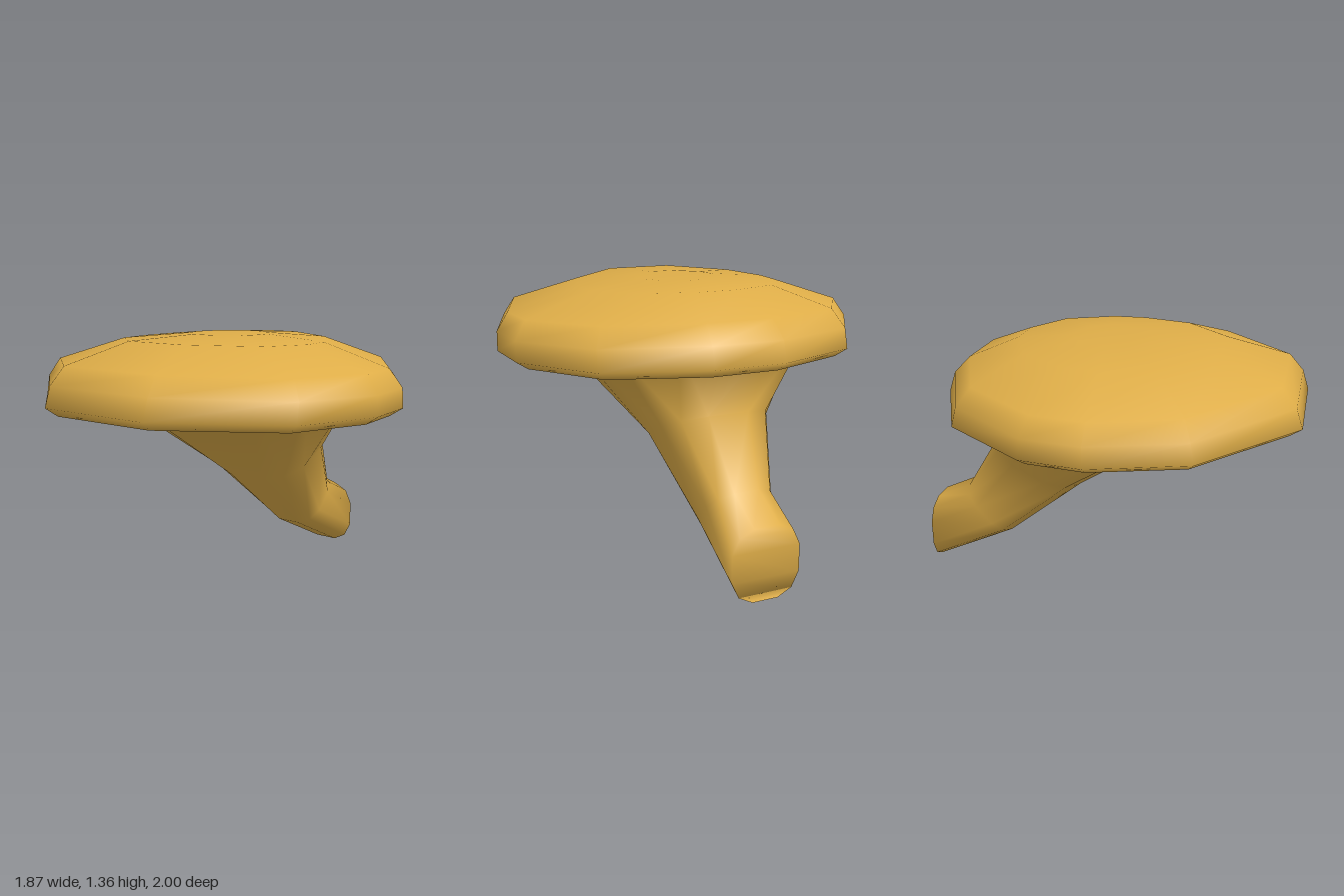
import * as THREE from 'three';

const SIDES = 12;

// Right half of the cap outline [x, z], front to back; mirrored to make the full rim
const HALF = [[0.31, 1.0], [0.8, 0.57], [0.935, 0.11], [0.91, -0.19], [0.645, -0.61], [0.18, -0.82]];
const OUTLINE = [...HALF, ...HALF.map(([x, z]) => [-x, z]).reverse()];

// Slightly squared circle, with its extremes brought out to 1
const squared = (v) => Math.sign(v) * Math.abs(v / Math.cos(Math.PI / SIDES)) ** 0.75;

// Stem section between a front and a back edge point [z, y]
function stemRing([fz, fy], [bz, by], halfWidth) {
  return Array.from({ length: SIDES }, (_, j) => {
    const a = ((j + 0.5) * 2 * Math.PI) / SIDES;
    const c = squared(Math.cos(a)) / 2;
    return [halfWidth * squared(Math.sin(a)), (fy + by) / 2 + c * (fy - by), (fz + bz) / 2 + c * (fz - bz)];
  });
}

// Cap section: scaled outline, drooping slightly at the sides
function capRing(sx, sz, y, zc = 0.09, droop = 0.04) {
  return OUTLINE.map(([x, z]) => [x * sx, y - droop * (x * sx) ** 2, zc + (z - 0.09) * sz]);
}

export function createModel() {
  const group = new THREE.Group();
  const material = new THREE.MeshStandardMaterial({ color: 0xdead48 });
  material.name = 'ochre';

  const rings = [
    // stem, from its cut end up into the hollow under the cap
    stemRing([-1, 0], [-1, 0.365], 0.173),
    stemRing([-0.56, 0.21], [-0.8, 0.46], 0.173),
    stemRing([-0.14, 0.56], [-0.6, 0.78], 0.285),
    stemRing([0.66, 1.12], [-0.57, 1.12], 0.66),
    // cap, from the hollow underside over the rim to the crown
    capRing(0.935, 0.935, 1.015),
    capRing(1, 1, 1.06),
    capRing(0.998, 0.963, 1.16),
    capRing(0.935, 0.877, 1.247, 0.095),
    capRing(0.56, 0.57, 1.347, 0.06, 0.06),
    capRing(0.22, 0.22, 1.363, 0.02),
  ];
  const stemBands = 3;
  const points = rings.flat();

  // Faces, kept apart for stem and cap
  const stemFaces = [], capFaces = [];
  for (let i = 0; i < rings.length - 1; i++) {
    for (let j = 0; j < SIDES; j++) {
      const a = i * SIDES + j, b = i * SIDES + ((j + 1) % SIDES), c = b + SIDES, d = a + SIDES;
      (i < stemBands ? stemFaces : capFaces).push(a, b, c, a, c, d);
    }
  }

  // Flat stem end and crown, closed by strips across from side to side
  const top = (rings.length - 1) * SIDES;
  for (let j = 0; j < SIDES / 2 - 1; j++) {
    const k = SIDES - 1 - j;
    stemFaces.push(j, k, j + 1, j + 1, k, k - 1);
    capFaces.push(...[j, j + 1, k, j + 1, k - 1, k].map((v) => top + v));
  }

  // Normals are computed over the whole body so stem and cap blend smoothly
  const body = new THREE.BufferGeometry();
  body.setAttribute('position', new THREE.Float32BufferAttribute(points.flat(), 3));
  body.setIndex([...stemFaces, ...capFaces]);
  body.computeVertexNormals();

  for (const [name, faces] of [['stem', stemFaces], ['cap', capFaces]]) {
    const part = body.clone();
    part.setIndex(faces);
    const mesh = new THREE.Mesh(part.toNonIndexed(), material);
    mesh.name = name;
    group.add(mesh);
  }
  group.name = 'bracketMushroom';
  return group;
}
